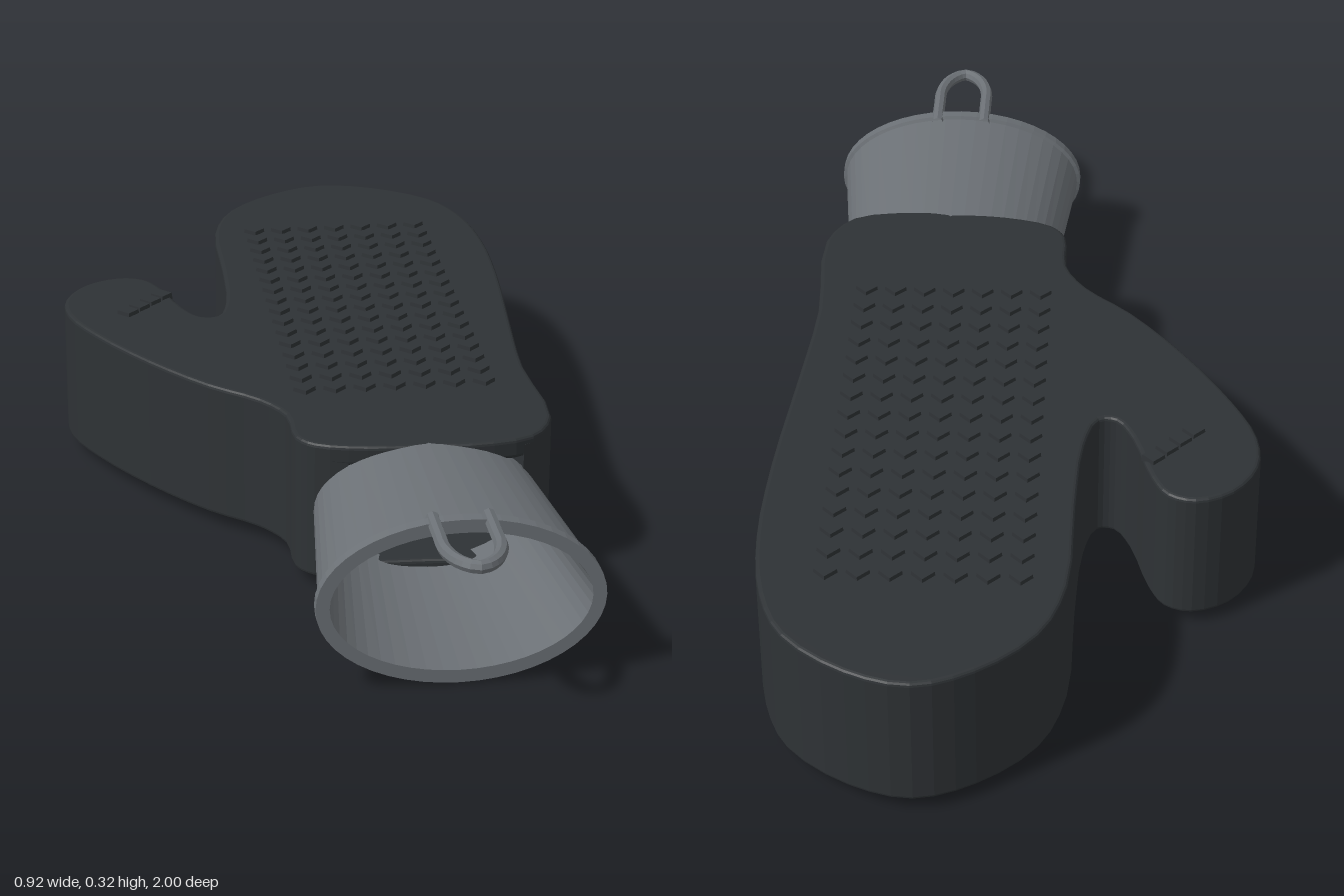
import * as THREE from 'three';

const DARK = new THREE.MeshStandardMaterial({ color: 0x2e3235 });
const GREY = new THREE.MeshStandardMaterial({ color: 0x6b7075, flatShading: true, side: THREE.DoubleSide });

// Mitten outline as (x, z), from the right of the neck round the fingertips and thumb
const OUTLINE = [
  [0.37, 0.43], [0.42, 0.345], [0.413, 0.1], [0.43, -0.13], [0.453, -0.4], [0.457, -0.61],
  [0.435, -0.77], [0.385, -0.88], [0.267, -0.97], [0.15, -1], [0.04, -0.957], [-0.066, -0.857],
  [-0.112, -0.725], [-0.119, -0.5], [-0.13, -0.317], [-0.156, -0.238], [-0.188, -0.238],
  [-0.22, -0.29], [-0.257, -0.407], [-0.288, -0.46], [-0.34, -0.476], [-0.41, -0.444],
  [-0.456, -0.37], [-0.456, -0.28], [-0.41, -0.17], [-0.315, -0.016], [-0.21, 0.116],
  [-0.119, 0.2], [-0.077, 0.275], [-0.071, 0.38], [-0.04, 0.42], [0.055, 0.447],
  [0.16, 0.453], [0.25, 0.457],
];
// Hollow for the hand, open at the neck
const CAVITY = [
  [0.02, 0.44], [0.01, 0.25], [-0.06, 0.1], [-0.07, -0.7], [0.03, -0.89], [0.15, -0.95],
  [0.3, -0.9], [0.39, -0.75], [0.4, -0.4], [0.37, 0], [0.35, 0.2], [0.35, 0.44],
];

function add(group, name, geometry, material) {
  const mesh = new THREE.Mesh(geometry, material);
  mesh.name = name;
  group.add(mesh);
  return mesh;
}

// Upright extrusion of an (x, z) outline between two heights
function slab(points, bottom, top, bevel) {
  const geometry = new THREE.ExtrudeGeometry(new THREE.Shape(points), {
    depth: top - bottom - 2 * bevel,
    bevelEnabled: bevel > 0,
    bevelThickness: bevel,
    bevelSize: bevel,
    bevelOffset: -bevel,
    bevelSegments: 3,
  });
  return geometry.rotateX(Math.PI / 2).translate(0, top - bevel, 0);
}

function createMitten() {
  const mitten = new THREE.Group();
  mitten.name = 'mitten';
  const curve = new THREE.CatmullRomCurve3(OUTLINE.map(([x, z]) => new THREE.Vector3(x, z, 0)), true);
  const outline = curve.getPoints(102).slice(0, -1).map((p) => new THREE.Vector2(p.x, p.y));
  const wall = outline
    .filter((p) => !(p.y > 0.4 && p.x > 0.02 && p.x < 0.35))
    .concat(CAVITY.map(([x, z]) => new THREE.Vector2(x, z)));
  add(mitten, 'palmLayer', slab(outline, 0.025, 0.065, 0.008), DARK);
  add(mitten, 'sideWall', slab(wall, 0.04, 0.285, 0), DARK);
  add(mitten, 'backLayer', slab(outline, 0.26, 0.3, 0.008), DARK);
  return mitten;
}

// Diamond studs on the hand and thumb
function createGrip() {
  const grip = new THREE.Group();
  grip.name = 'gripStuds';
  const stud = new THREE.CylinderGeometry(0.021, 0.023, 0.014, 4).toNonIndexed();
  stud.computeVertexNormals();
  const place = (name, x, z) => add(grip, name, stud, DARK).position.set(x, 0.301, z);
  for (let row = 0; row < 16; row++) {
    for (let col = 0; col < 7; col++) place('handStud', -0.028 + col * 0.0583, -0.71 + row * 0.0587);
  }
  for (let i = 0; i < 4; i++) place('thumbStud', -0.335 + i * 0.025, -0.27 - i * 0.028);
  return grip;
}

// Flared oval cuff with a raised hem
function createCuff() {
  const profile = [
    [0.185, 0.42], [0.212, 0.42], [0.253, 0.795], [0.26, 0.798], [0.26, 0.82], [0.235, 0.82], [0.185, 0.42],
  ].map(([r, z]) => new THREE.Vector2(r, z));
  const geometry = new THREE.LatheGeometry(profile, 48).rotateX(Math.PI / 2);
  const pos = geometry.attributes.position;
  for (let i = 0; i < pos.count; i++) {
    // Flatten the round section to an oval, a little more towards the hem
    const r = Math.hypot(pos.getX(i), pos.getY(i));
    const cut = THREE.MathUtils.mapLinear(pos.getZ(i), 0.42, 0.82, 0.075, 0.1);
    pos.setY(i, pos.getY(i) * (r - cut) / r);
  }
  geometry.computeVertexNormals();
  return geometry.translate(0.17, 0.162, 0);
}

// Hanging loop on top of the hem
function createLoop() {
  const path = new THREE.CatmullRomCurve3([
    [0.12, 0.785], [0.12, 0.86], [0.122, 0.92], [0.14, 0.965], [0.17, 0.987],
    [0.2, 0.965], [0.218, 0.92], [0.22, 0.86], [0.22, 0.785],
  ].map(([x, z]) => new THREE.Vector3(x, 0.313, z)));
  return new THREE.TubeGeometry(path, 32, 0.0125, 8);
}

export function createModel() {
  const model = new THREE.Group();
  model.name = 'ovenMitt';
  model.add(createMitten(), createGrip());
  add(model, 'cuff', createCuff(), GREY);
  add(model, 'hangingLoop', createLoop(), GREY);
  return model;
}
